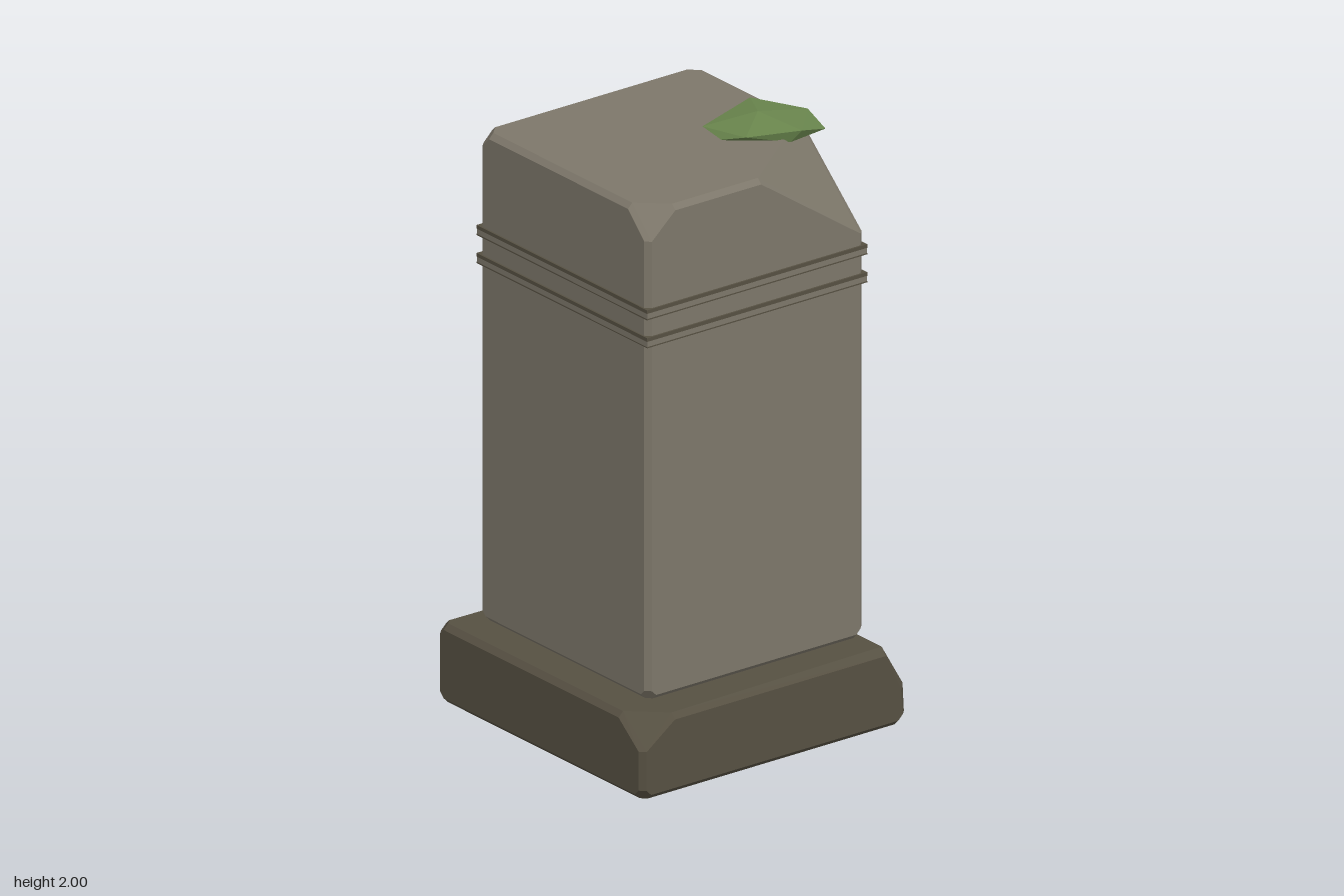
import * as THREE from 'three';
import { ConvexGeometry } from 'three/addons/geometries/ConvexGeometry.js';

const flat = (name, color, side = THREE.FrontSide) => {
  const m = new THREE.MeshStandardMaterial({ color, side });
  m.name = name;
  return m;
};

// Bevelled block; cuts[corner] gives how far a chip runs along the x, y and z edges
function stoneBlock(half, y0, y1, bevel, cuts = {}) {
  const pts = [];
  for (const sx of [-1, 1]) for (const sy of [-1, 1]) for (const sz of [-1, 1]) {
    const c = cuts[[sx, sy, sz].join()] || [bevel * 2, bevel * 2, bevel * 2];
    const corner = (dx, dy, dz) => pts.push(new THREE.Vector3(
      sx * (half - dx), sy > 0 ? y1 - dy : y0 + dy, sz * (half - dz)));
    corner(c[0], bevel, 0); corner(c[0], 0, bevel);
    corner(bevel, c[1], 0); corner(0, c[1], bevel);
    corner(bevel, 0, c[2]); corner(0, bevel, c[2]);
  }
  return pts;
}

// Drops the underside of a convex shape, leaving it open below
function openBottom(geo) {
  const p = geo.attributes.position, n = geo.attributes.normal, keep = [];
  for (let i = 0; i < p.count; i += 3) {
    if (n.getY(i) > -0.95) {
      for (let k = i; k < i + 3; k++) keep.push(p.getX(k), p.getY(k), p.getZ(k));
    }
  }
  const out = new THREE.BufferGeometry();
  out.setAttribute('position', new THREE.Float32BufferAttribute(keep, 3));
  out.computeVertexNormals();
  return out;
}

export function createModel() {
  const group = new THREE.Group();
  const stone = flat('stone', 0x7d776a);
  const darkStone = flat('dark stone', 0x565042, THREE.DoubleSide);
  const moss = flat('moss green', 0x68844c);
  const add = (name, geo, mat) => {
    const mesh = new THREE.Mesh(geo, mat);
    mesh.name = name;
    group.add(mesh);
    return mesh;
  };

  // Hollow plinth, sloped along its left top edge and chipped at the front right corner
  const base = stoneBlock(0.525, 0, 0.268, 0.018, { '-1,1,1': [0.13, 0.1, 0.12] })
    .filter((p) => !(p.x > 0.4 && p.y > 0.14));
  for (const s of [-1, 1]) {
    base.push(
      new THREE.Vector3(0.45, 0.268, s * 0.49), new THREE.Vector3(0.44, 0.25, s * 0.525),
      new THREE.Vector3(0.525, 0.13, s * 0.5), new THREE.Vector3(0.5, 0.12, s * 0.525));
  }
  add('plinth', openBottom(new ConvexGeometry(base)), darkStone);

  // Tall pillar with a large broken corner and a small chip
  add('pillar', new ConvexGeometry(stoneBlock(0.43, 0.285, 1.945, 0.017, {
    '1,1,1': [0.41, 0.285, 0.32],
    '-1,1,1': [0.11, 0.1, 0.1],
    '-1,1,-1': [0.05, 0.05, 0.05],
    '1,1,-1': [0.05, 0.05, 0.05],
  })), stone);

  // Two square bands, each with a dark upper lip
  for (const y of [1.497, 1.592]) {
    add('band', new THREE.BoxGeometry(0.87, 0.018, 0.87), stone).position.y = y + 0.007;
    add('bandLip', new THREE.BoxGeometry(0.872, 0.012, 0.872), darkStone).position.y = y + 0.022;
    add('bandSeam', new THREE.BoxGeometry(0.872, 0.004, 0.872), darkStone).position.y = y - 0.004;
  }

  // Faceted moss clump on the top
  const clump = [
    [0.105, 1.967, 0.02], [0.34, 1.985, -0.04], [0.452, 1.968, 0.11], [0.33, 1.968, 0.24],
    [0.145, 1.975, 0.19], [0.27, 2.0, 0.09], [0.2, 1.955, -0.03], [0.11, 1.95, 0.11],
    [0.445, 1.935, 0.21], [0.41, 1.925, 0.16], [0.3, 1.93, 0.22], [0.17, 1.935, 0.13],
    [0.2, 1.935, 0.01], [0.36, 1.935, 0],
  ].map((p) => new THREE.Vector3(...p));
  add('mossClump', new ConvexGeometry(clump), moss);

  return group;
}
